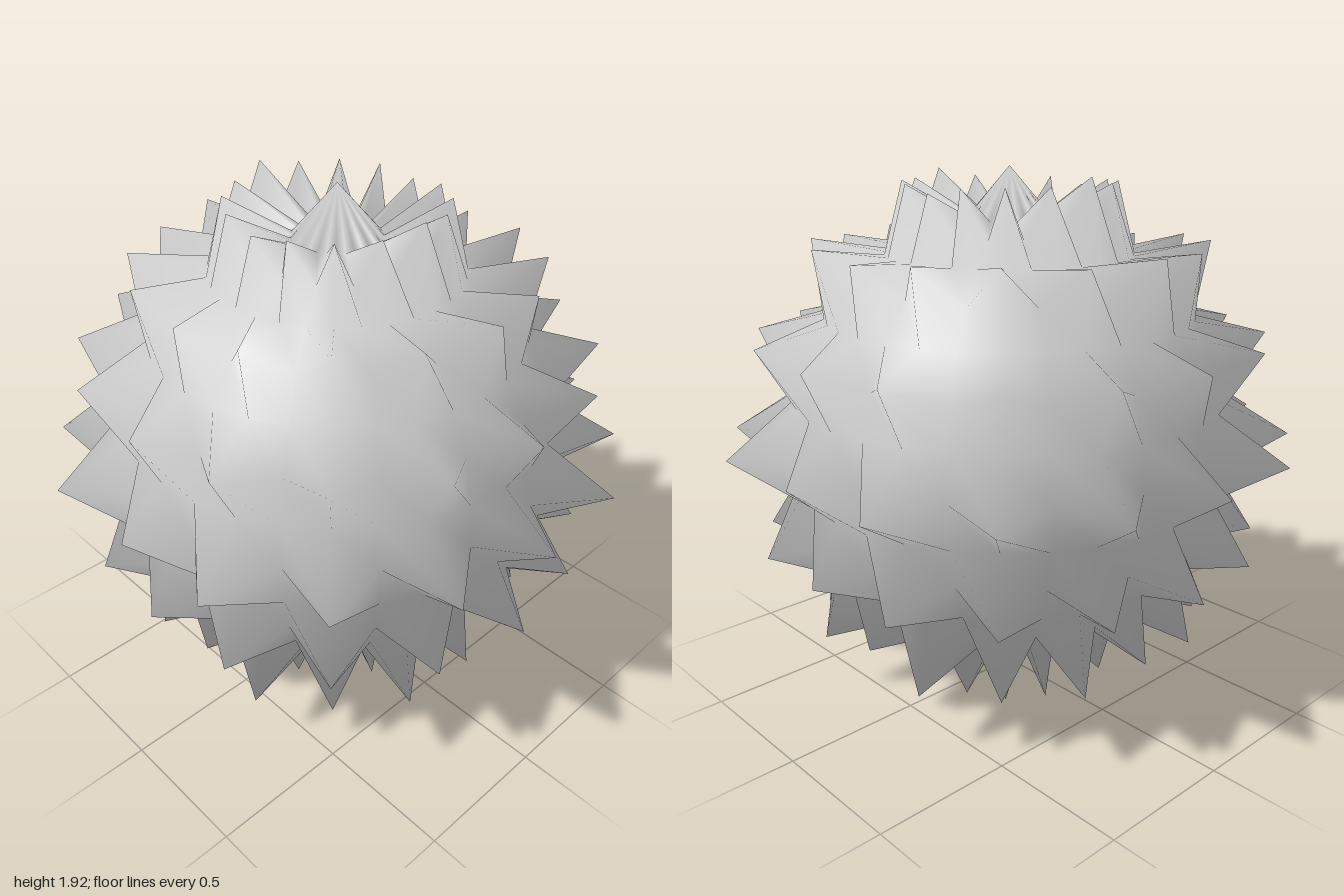
import * as THREE from 'three';
import { mergeVertices } from 'three/addons/utils/BufferGeometryUtils.js';

const STEP = Math.PI / 16;   // angle between neighbouring vertices
const VALLEY = 0.795;
const POLE = 0.96;
// Spike lengths from the side (x) to the front (z), one row per latitude
const TIPS = {
  6: [0.955, 0.98, 0.985, 0.985, 1.015],
  4: [0.96, 0.99, 1.0, 0.98, 1.0],
  2: [0.95, 0.985, 0.995, 0.995, 0.975],
  0: [0.955, 1.03, 1.03, 1.03, 1.0],
  '-2': [0.955, 0.99, 0.995, 0.995, 0.995],
  '-4': [0.945, 1.025, 1.01, 1.02, 0.98],
  '-6': [0.965, 0.98, 0.985, 0.985, 1.015],
};

// Every second vertex of every second ring is a spike tip
function radiusAt(d) {
  const row = Math.round(Math.asin(THREE.MathUtils.clamp(d.y, -1, 1)) / STEP);
  if (Math.abs(row) === 8) return POLE;
  const col = Math.round(Math.atan2(Math.abs(d.z), Math.abs(d.x)) / STEP);
  return row % 2 || col % 2 ? VALLEY : TIPS[row + 0][col / 2];
}

export function createModel() {
  const group = new THREE.Group();
  group.name = 'spikyBall';

  // Weld the seam and poles so the shading stays smooth all round
  let geo = new THREE.SphereGeometry(1, 32, 16);
  geo.deleteAttribute('uv');
  geo.deleteAttribute('normal');
  geo = mergeVertices(geo, 1e-4);

  const pos = geo.attributes.position;
  const d = new THREE.Vector3();
  for (let i = 0; i < pos.count; i++) {
    d.fromBufferAttribute(pos, i).normalize();
    d.multiplyScalar(radiusAt(d));
    pos.setXYZ(i, d.x, d.y, d.z);
  }
  geo.computeVertexNormals();

  const ball = new THREE.Mesh(geo, new THREE.MeshStandardMaterial({ color: 0xcccccc }));
  ball.name = 'spikedShell';
  ball.position.y = POLE;
  group.add(ball);
  return group;
}
